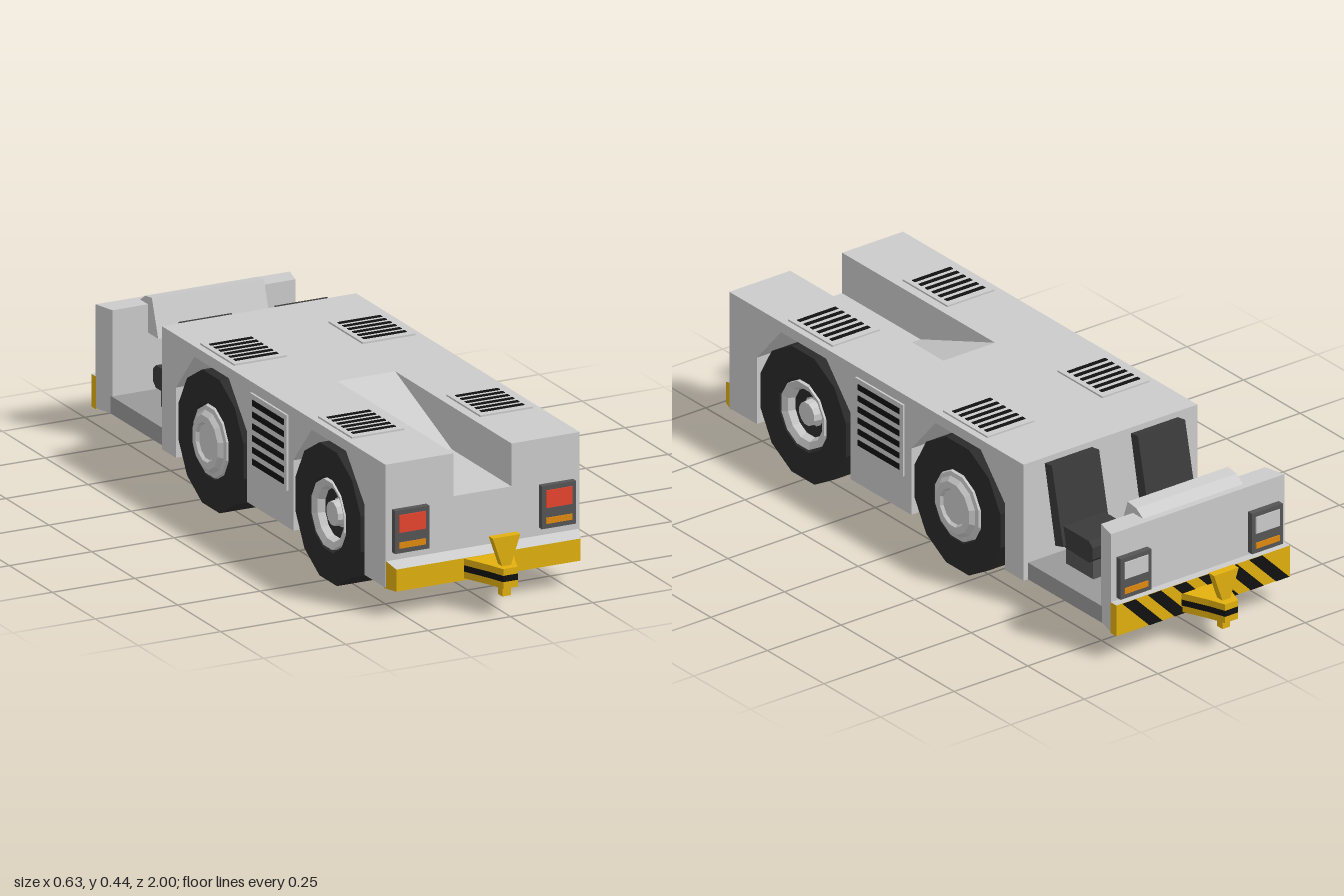
import * as THREE from 'three';

const mat = (color) => new THREE.MeshStandardMaterial({ color, flatShading: true });

export function createModel() {
  const model = new THREE.Group();
  const grey = mat(0xcccccc), floorGrey = mat(0x999999), yellow = mat(0xe2b00f), black = mat(0x111111);
  const rubber = mat(0x2a2a2a), seatDark = mat(0x3a3a3a), housing = mat(0x555555);
  const red = mat(0xe8452f), amber = mat(0xe08a10), lens = mat(0xdddddd);

  const add = (name, geo, material, parent = model) => {
    const m = new THREE.Mesh(geo, material);
    m.name = name;
    parent.add(m);
    return m;
  };
  // Box given by its limits
  const box = (x0, x1, y0, y1, z0, z1) =>
    new THREE.BoxGeometry(x1 - x0, y1 - y0, z1 - z0).translate((x0 + x1) / 2, (y0 + y1) / 2, (z0 + z1) / 2);
  const extrude = (pts, depth) => new THREE.ExtrudeGeometry(
    new THREE.Shape(pts.map((p) => new THREE.Vector2(...p))), { depth, bevelEnabled: false });
  // Side outline [z, y] extruded between x0 and x1
  const prism = (pts, x0, x1) => extrude(pts, x1 - x0).rotateY(-Math.PI / 2).translate(x1, 0, 0);
  // Box whose +z face is narrower and lower
  const tapered = (halfW, halfFront, y0, y1, yFront, z0, z1) => {
    const g = box(-halfW, halfW, y0, y1, z0, z1), p = g.attributes.position;
    for (let i = 0; i < p.count; i++) {
      if (p.getZ(i) < (z0 + z1) / 2) continue;
      p.setX(i, Math.sign(p.getX(i)) * halfFront);
      if (p.getY(i) > (y0 + y1) / 2) p.setY(i, yFront);
    }
    g.computeVertexNormals();
    return g;
  };

  // Body: arched sides, inner rails and a centre with a ramped trough
  const arch = (z) => [[z - 0.207, 0.08], [z - 0.207, 0.28], [z - 0.1, 0.4], [z + 0.1, 0.4], [z + 0.207, 0.28], [z + 0.207, 0.08]];
  const axles = [-0.175, 0.508];
  const side = [[-0.464, 0.08], ...arch(axles[0]), ...arch(axles[1]), [0.837, 0.08], [0.837, 0.43], [-0.464, 0.43]];
  const centre = [[-0.464, 0.08], [0.837, 0.08], [0.837, 0.308], [0.49, 0.308], [0.16, 0.43], [-0.464, 0.43]];
  add('bodyCentre', prism(centre, -0.088, 0.088), grey);
  for (const s of [-1, 1]) {
    add('bodySide', prism(side, s > 0 ? 0.13 : -0.295, s > 0 ? 0.295 : -0.13), grey);
    add('bodyRail', box(s > 0 ? 0.088 : -0.13, s > 0 ? 0.13 : -0.088, 0.08, 0.43, -0.464, 0.837), grey);
  }

  // Driver's area: floor, end panel and dashboard
  add('cabFloor', box(-0.28, 0.28, 0.08, 0.13, -0.8, -0.46), floorGrey);
  add('endPanel', tapered(0.295, 0.278, 0.08, 0.375, 0.375, -0.85, -0.785), grey);
  add('dashboard', prism([[-0.725, 0.295], [-0.79, 0.295], [-0.83, 0.375], [-0.8, 0.395], [-0.762, 0.4]].reverse(), -0.17, 0.17), grey);

  // Bumpers with grey upper faces
  const bumperMats = [yellow, yellow, grey, yellow, yellow, yellow];
  add('frontBumper', tapered(0.295, 0.28, 0.077, 0.158, 0.14, 0.83, 0.872), bumperMats);
  add('rearBumper', box(-0.295, 0.295, 0.077, 0.17, -0.875, -0.848), bumperMats);
  for (let i = 0; i < 6; i++) {
    const x = -0.2 + i * 0.086;
    add('bumperStripe', extrude([[x - 0.09, 0.078], [x - 0.045, 0.078], [x + 0.045, 0.169], [x, 0.169]], 0.003)
      .translate(0, 0, -0.878), black);
  }

  // Wheels: twelve-sided tyres, recessed front rims, domed rear hubs
  const lathe = (pts) => new THREE.LatheGeometry(pts.map((p) => new THREE.Vector2(...p)), 12, Math.PI / 12);
  const tyre = lathe([[0, 0.135], [0.196, 0.135], [0.196, 0.297], [0.107, 0.297], [0.098, 0.28], [0, 0.245]]);
  const hubs = [
    lathe([[0.107, 0.28], [0.1, 0.3], [0.088, 0.303], [0.076, 0.315], [0.056, 0.315], [0.05, 0.307], [0, 0.307]]),
    lathe([[0.1, 0.27], [0.098, 0.298], [0.078, 0.29], [0.066, 0.26], [0.037, 0.26], [0.034, 0.285], [0, 0.285]]),
  ];
  axles.forEach((z, i) => {
    for (const s of [-1, 1]) {
      const wheel = new THREE.Group();
      wheel.name = i ? 'frontWheel' : 'rearWheel';
      wheel.position.set(0, 0.19, z);
      wheel.rotation.z = -s * Math.PI / 2;
      add('tyre', tyre, rubber, wheel);
      add('hub', hubs[i], grey, wheel);
      model.add(wheel);
    }
  });

  // Slatted vents, built lying flat
  const vent = (w, l, slatW, pitch, slat) => {
    const g = new THREE.Group();
    g.name = 'vent';
    add('ventFrame', box(-w / 2, w / 2, -0.004, 0.005, -l / 2, l / 2), grey, g);
    for (let i = 0; i < 6; i++) {
      const z = (i - 2.5) * pitch;
      add('ventSlot', box(-slatW / 2, slatW / 2, 0, 0.007, z - slat / 2, z + slat / 2), black, g);
    }
    model.add(g);
    return g;
  };
  for (const s of [-1, 1]) {
    for (const z of [-0.18, 0.505]) vent(0.16, 0.198, 0.13, 0.0285, 0.013).position.set(s * 0.195, 0.43, z);
    const v = vent(0.212, 0.215, 0.183, 0.0335, 0.017);
    v.rotation.set(Math.PI / 2, s * Math.PI / 2, 0, 'YXZ');
    v.position.set(s * 0.296, 0.293, 0.167);
  }

  // Lamps at both ends
  for (const end of [1, -1]) for (const s of [-1, 1]) {
    const lamp = new THREE.Group();
    lamp.name = end > 0 ? 'frontLamp' : 'rearLamp';
    add('lampHousing', box(-0.052, 0.052, 0.178, 0.3, -0.005, 0.018), housing, lamp);
    add('mainLens', box(-0.04, 0.04, 0.237, 0.287, 0.01, 0.021), end > 0 ? red : lens, lamp);
    add('amberLens', box(-0.04, 0.04, 0.192, 0.209, 0.01, 0.021), amber, lamp);
    lamp.position.set(s * 0.223, 0, end > 0 ? 0.837 : -0.85);
    if (end < 0) lamp.rotation.y = Math.PI;
    model.add(lamp);
  }

  // Tow hitches: layered tongue with a flared pin
  const tongue = [[-0.078, 0.865], [0.078, 0.865], [0.04, 0.95], [0.022, 1], [-0.022, 1], [-0.04, 0.95]];
  const pin = [[-0.013, 0.053], [0.013, 0.053], [0.013, 0.138], [0.042, 0.222], [-0.042, 0.222], [-0.013, 0.138]];
  for (const end of [1, -1]) {
    const hitch = new THREE.Group();
    hitch.name = end > 0 ? 'frontHitch' : 'rearHitch';
    [[0.083, 0.102, yellow], [0.102, 0.12, black], [0.12, 0.139, yellow]].forEach(([y0, y1, m]) =>
      add('hitchTongue', extrude(tongue, y1 - y0).rotateX(Math.PI / 2).translate(0, y1, 0), m, hitch));
    add('hitchPin', extrude(pin, 0.024).translate(0, 0, 0.953), yellow, hitch);
    if (end < 0) hitch.rotation.y = Math.PI;
    model.add(hitch);
  }

  // Two seats facing the end panel
  for (const s of [-1, 1]) {
    const seat = new THREE.Group();
    seat.name = 'seat';
    add('seatBase', box(-0.055, 0.055, 0.125, 0.19, -0.65, -0.53), housing, seat);
    add('seatCushion', prism([[-0.51, 0.19], [-0.65, 0.185], [-0.667, 0.2], [-0.667, 0.235], [-0.65, 0.25], [-0.53, 0.25]].reverse(), -0.07, 0.07), seatDark, seat);
    add('seatBack', prism([[-0.468, 0.415], [-0.5, 0.42], [-0.55, 0.195], [-0.515, 0.185]], -0.08, 0.08), seatDark, seat);
    seat.position.x = s * 0.146;
    model.add(seat);
  }
  return model;
}
